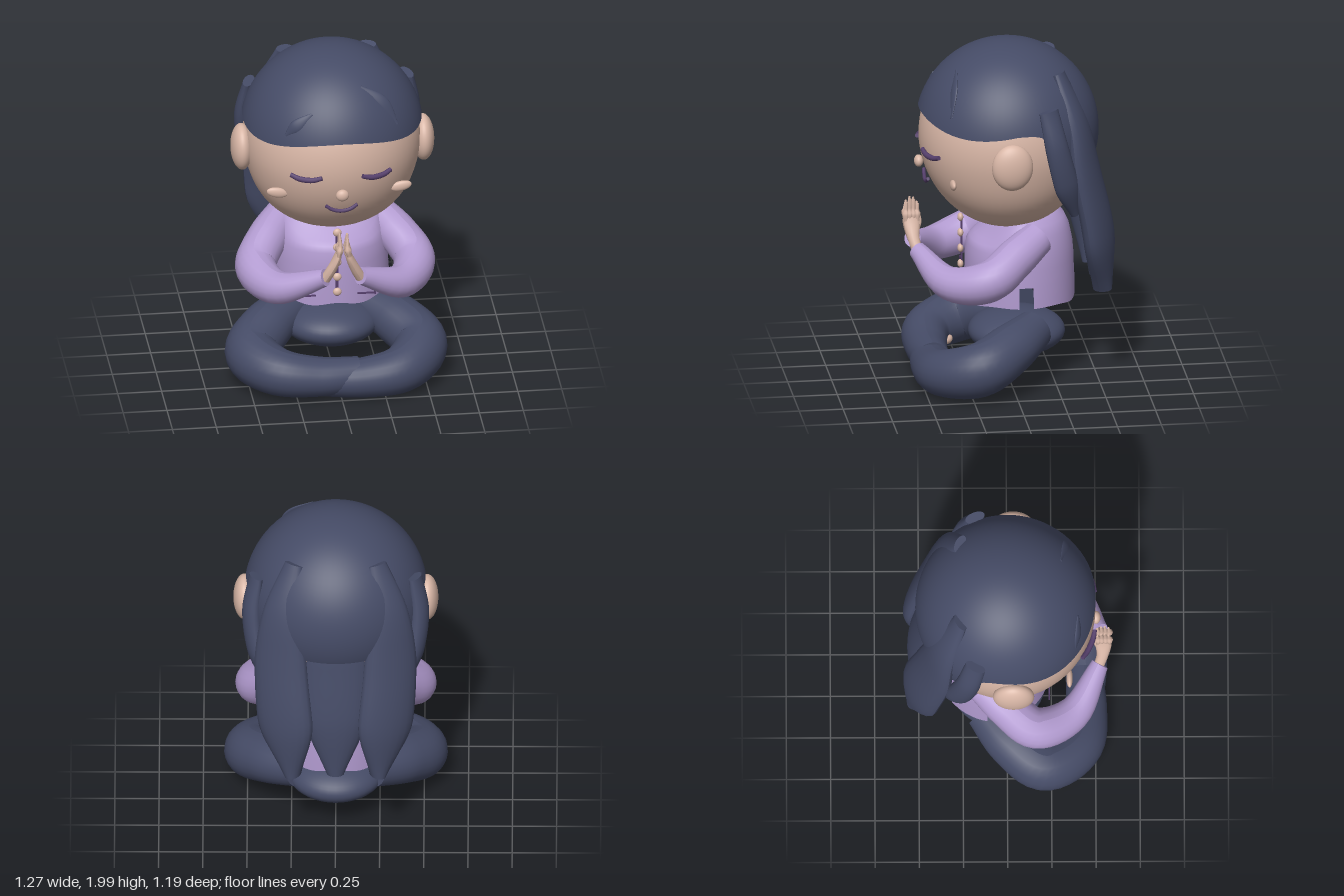
import * as THREE from 'three';

const V = (p) => new THREE.Vector3(...p);
const mat = (name, color, side = THREE.FrontSide) => {
  const m = new THREE.MeshStandardMaterial({ color, side });
  m.name = name;
  return m;
};

// Sweeps an oval section (half width, half thickness) along a smooth path, with flat end caps.
function sweep(points, sizes, ref = [0, 1, 0], rows = 28, sides = 20) {
  const path = new THREE.CatmullRomCurve3(points.map(V));
  const size = new THREE.CatmullRomCurve3(sizes.map(([w, t]) => new THREE.Vector3(w, t ?? w, 0)));
  const pos = [], index = [], n = sides + 1;
  const ring = (t, k) => {
    const p = path.getPoint(t), s = size.getPoint(t), T = path.getTangent(t), U = V(ref);
    U.addScaledVector(T, -U.dot(T)).normalize();
    const W = T.clone().cross(U);
    for (let j = 0; j <= sides; j++) {
      const a = (j % sides) / sides * Math.PI * 2;
      const q = p.clone().addScaledVector(U, Math.cos(a) * s.x * k).addScaledVector(W, Math.sin(a) * s.y * k);
      pos.push(q.x, q.y, q.z);
    }
  };
  ring(0, 0); ring(0, 1);
  for (let i = 0; i <= rows; i++) ring(i / rows, 1);
  ring(1, 1); ring(1, 0);
  for (let i = 0; i < rows + 4; i++) {
    if (i === 1 || i === rows + 2) continue; // keeps cap edges sharp
    for (let j = 0; j < sides; j++) {
      const a = i * n + j, c = a + n;
      index.push(a, a + 1, c, a + 1, c + 1, c);
    }
  }
  const g = new THREE.BufferGeometry();
  g.setAttribute('position', new THREE.Float32BufferAttribute(pos, 3));
  g.setIndex(index);
  g.computeVertexNormals();
  return g;
}

export function createModel() {
  const root = new THREE.Group();
  root.name = 'meditatingGirl';
  const navy = mat('navy', 0x454b66, THREE.DoubleSide);
  const skin = mat('skin', 0xd8b6a6);
  const lilac = mat('lilac', 0xb29bd0, THREE.DoubleSide);
  const plum = mat('plum', 0x553f6b);

  const add = (name, geo, m, p = [0, 0, 0], s = [1, 1, 1]) => {
    const mesh = new THREE.Mesh(geo, m);
    mesh.name = name;
    mesh.position.set(...p);
    mesh.scale.set(...s);
    root.add(mesh);
    return mesh;
  };
  const ball = new THREE.SphereGeometry(1, 40, 28);
  const flip = (pts, s) => pts.map(([x, y, z]) => [x * s, y, z]);
  const smooth = THREE.MathUtils.smoothstep;

  // Head with a slightly fuller jaw
  const headGeo = new THREE.SphereGeometry(1, 56, 40);
  const hp = headGeo.attributes.position;
  for (let i = 0; i < hp.count; i++) {
    const jaw = smooth(-hp.getY(i), 0.2, 1);
    hp.setX(i, hp.getX(i) * (1 + 0.08 * jaw));
    hp.setY(i, hp.getY(i) * (1 + 0.04 * jaw));
  }
  headGeo.computeVertexNormals();
  add('head', headGeo, skin, [0, 1.45, 0], [0.505, 0.515, 0.5]);
  add('nose', ball, skin, [0, 1.3, 0.503], [0.037, 0.035, 0.026]);
  add('mouth', sweep([[-0.09, 1.22, 0.461], [-0.05, 1.195, 0.465], [0, 1.186, 0.467], [0.05, 1.195, 0.465], [0.09, 1.22, 0.461]],
    [[0.01], [0.011], [0.01]], [0, 1, 0], 20, 10), plum);

  // Hair cap with a fringe line that is high in front and low at the back
  const R = 0.52, capY = 1.48, rows = 28;
  const cap = new THREE.SphereGeometry(R, 72, rows, 0, Math.PI * 2, 0, 2);
  const cp = cap.attributes.position, cn = cap.attributes.normal;
  for (let i = 0; i < cp.count; i++) {
    const u = (i % 73) / 72 * Math.PI * 2, x = -Math.cos(u), z = Math.sin(u);
    const a = Math.abs(Math.atan2(x, z));
    const edge = 1.59 + 0.028 * Math.cos(a * 3) * (1 - smooth(a, 1.5, 1.7)) - 0.25 * smooth(a, 1.75, 2.4);
    const th = Math.floor(i / 73) / rows * Math.acos((edge - capY) / R);
    const d = new THREE.Vector3(x * Math.sin(th), Math.cos(th), z * Math.sin(th));
    cn.setXYZ(i, d.x, d.y, d.z);
    cp.setXYZ(i, d.x * R, d.y * R, d.z * R);
  }
  add('hairCap', cap, navy, [0, capY, 0]);

  // Raised fringe locks lying on the cap
  const onCap = ([x, y]) => [x, y, Math.sqrt(R * R - x * x - (y - capY) ** 2)];
  const lock = [[0.008, 0.003], [0.035, 0.011], [0.008, 0.003]];
  add('fringeLock', sweep([[-0.31, 1.64], [-0.25, 1.7], [-0.16, 1.77]].map(onCap), lock, [0.7, -0.7, 0.5]), navy);
  add('fringeLock', sweep([[0.13, 1.88], [0.25, 1.79], [0.33, 1.66]].map(onCap), lock, [0.7, 0.7, -0.5]), navy);

  // Middle lock of long hair
  add('backLock', sweep([[0, 1.6, -0.38], [0, 1.3, -0.425], [0, 0.95, -0.485], [0, 0.58, -0.515]],
    [[0.13, 0.05], [0.19, 0.075], [0.18, 0.075], [0.05, 0.045]], [1, 0, 0]), navy);

  // Torso: upper body with a neckline that dips in front, and an open hem split at both sides
  const oval = [0.33, 1, 0.31];
  const profile = [[1, 0.62], [0.995, 0.72], [0.97, 0.81], [0.91, 0.9], [0.82, 0.96], [0.66, 1.0], [0.4, 1.02], [0, 1.02]];
  const torso = new THREE.LatheGeometry(profile.map(([r, y]) => new THREE.Vector2(r, y)), 56);
  const tp = torso.attributes.position;
  for (let i = 0; i < tp.count; i++) {
    const y = tp.getY(i);
    tp.setY(i, y - 0.11 * smooth(tp.getZ(i), 0, 0.75) * smooth(y, 0.78, 1));
  }
  torso.computeVertexNormals();
  add('torso', torso, lilac, [0, 0, -0.07], oval);
  for (const [name, start] of [['frontHem', -1.44], ['backHem', 1.7]]) {
    const g = new THREE.LatheGeometry([[1.01, 0.485], [1.01, 0.56], [1.005, 0.63]].map(([r, y]) => new THREE.Vector2(r, y)), 40, start, 2.88);
    const p = g.attributes.position;
    for (let i = 0; i < p.count; i++) {
      if (p.getY(i) < 0.5) p.setY(i, 0.488 + 0.01 * Math.cos(p.getX(i) * 7));
    }
    add(name, g, lilac, [0, 0, -0.07], oval);
  }

  // Placket and buttons
  add('placket', new THREE.BoxGeometry(0.016, 0.42, 0.009), plum, [0, 0.76, 0.257]);
  for (let i = 0; i < 5; i++) add('button', ball, skin, [0, 0.58 + i * 0.093, 0.265], [0.024, 0.024, 0.017]);

  // Hips, and the foot showing inside the crossed shins
  add('hips', ball, navy, [0, 0.264, -0.055], [0.28, 0.126, 0.275]);
  add('foot', ball, skin, [-0.3, 0.12, 0.315], [0.045, 0.035, 0.045]);

  for (const s of [1, -1]) {
    const side = s > 0 ? 'left' : 'right';
    const part = (name, pts, sizes, m, ref = [0, 1, 0], rows, sides) =>
      add(side + name, sweep(flip(pts, s), sizes, [ref[0] * s, ref[1], ref[2]], rows, sides), m);

    // Ear, cheek and closed eye
    add(side + 'Ear', ball, skin, [s * 0.517, 1.415, 0.035], [0.063, 0.136, 0.117]);
    add(side + 'Cheek', ball, skin, [s * 0.352, 1.267, 0.352], [0.062, 0.03, 0.018]).rotation.z = s * 0.2;
    part('Eye', [[0.285, 1.41, 0.425], [0.24, 1.395, 0.453], [0.17, 1.395, 0.484], [0.115, 1.41, 0.496]],
      [[0.013], [0.016], [0.013]], plum, [0, 1, 0], 16, 10);

    // Long lock and short lock
    part('LongLock', [[0.235, 1.87, -0.265], [0.3, 1.6, -0.36], [0.31, 1.3, -0.41], [0.285, 0.93, -0.485], [0.24, 0.57, -0.515]],
      [[0.055, 0.03], [0.115, 0.05], [0.16, 0.068], [0.17, 0.075], [0.045, 0.055]], navy, [0.9, 0, 0.42]);
    part('ShortLock', [[0.45, 1.72, -0.18], [0.475, 1.5, -0.225], [0.45, 1.28, -0.28], [0.38, 1.07, -0.34]],
      [[0.06, 0.03], [0.07, 0.05], [0.075, 0.048], [0.025, 0.02]], navy, [0.4, 0, 0.9]);

    // Sleeve
    part('Sleeve', [[0.255, 0.895, -0.14], [0.365, 0.815, 0.0], [0.452, 0.715, 0.16], [0.355, 0.68, 0.37], [0.1, 0.8, 0.525]],
      [[0.1], [0.115], [0.118], [0.098], [0.05]], lilac);

    // Hand: palm with wrist, four fingers and a thumb
    part('Palm', [[0.1, 0.79, 0.52], [0.065, 0.86, 0.54], [0.035, 0.93, 0.545], [0.025, 0.975, 0.545]],
      [[0.03, 0.03], [0.034, 0.028], [0.045, 0.022], [0.038, 0.014]], skin, [0, 0, 1], 14, 14);
    for (let i = 0; i < 4; i++) {
      const z = 0.515 + i * 0.021, top = [1.05, 1.075, 1.08, 1.06][i];
      part('Finger', [[0.03, 0.95, z], [0.02, 1.01, z], [0.022, top, z - 0.005]],
        [[0.012], [0.012], [0.006]], skin, [0, 0, 1], 8, 8);
    }
    part('Thumb', [[0.045, 0.89, 0.525], [0.022, 0.94, 0.502], [0.015, 0.99, 0.502]],
      [[0.014], [0.013], [0.006]], skin, [0, 0, 1], 8, 8);

    // Crossed leg, broad at the knee
    const dip = s > 0 ? -0.01 : 0.01;
    part('Leg', [[0.2, 0.33, -0.13], [0.37, 0.275, 0.03], [0.48, 0.2, 0.21], [0.355, 0.155 + dip, 0.405], [0.12, 0.13 + dip, 0.445], [-0.1, 0.13 + dip, 0.435]],
      [[0.112, 0.115], [0.142, 0.15], [0.155, 0.154], [0.135, 0.138], [0.112, 0.12], [0.1, 0.1]], navy, [0, 1, 0], 36, 24);

    // Pocket outline
    for (const [x, y, w, h] of [[0.218, 0.592, 0.008, 0.1], [0.165, 0.637, 0.11, 0.014], [0.17, 0.55, 0.1, 0.008], [0.115, 0.632, 0.008, 0.024]])
      add(side + 'PocketTrim', new THREE.BoxGeometry(w, h, 0.009), plum, [s * x, y, 0.238]);
  }
  return root;
}
